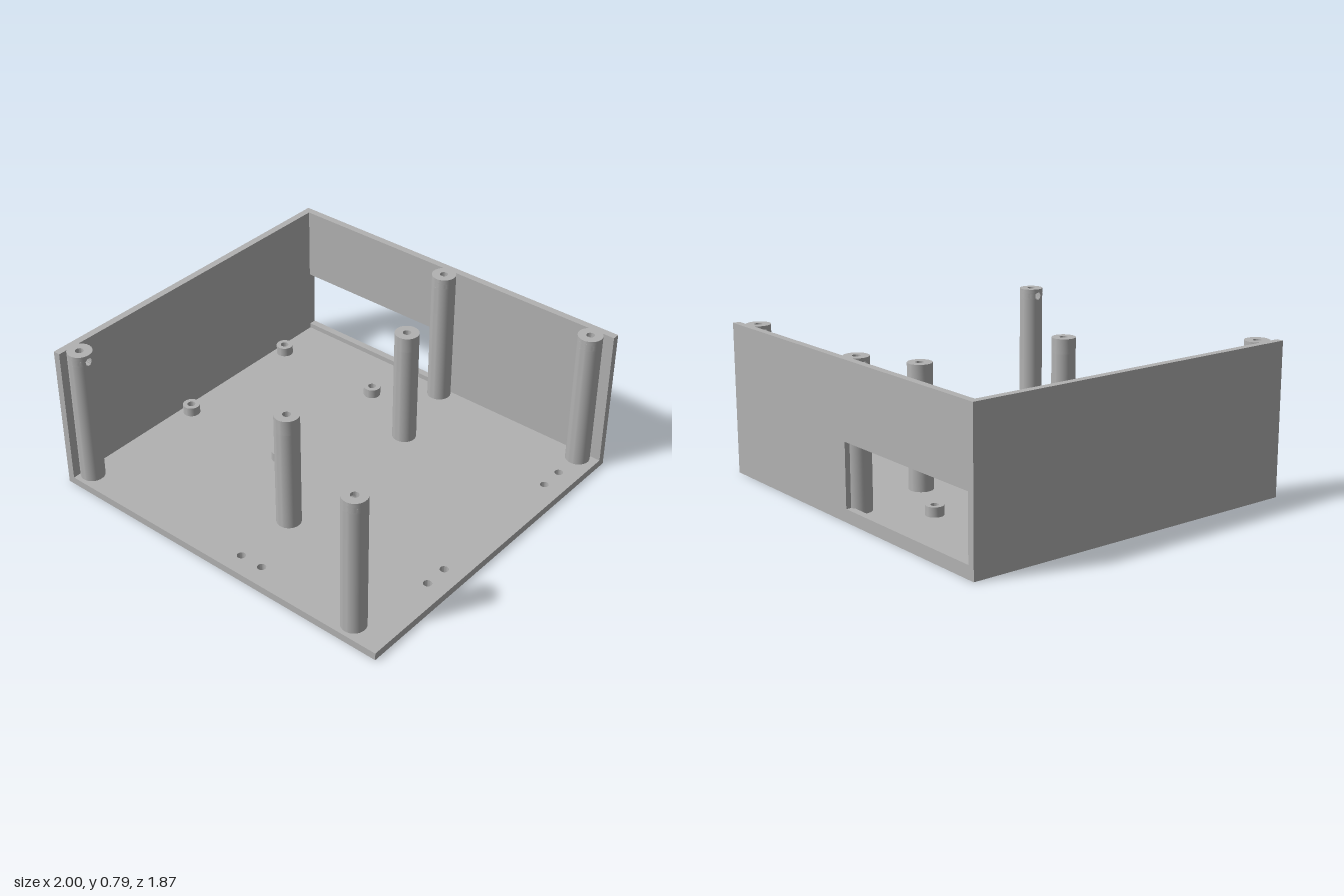
import * as THREE from 'three';
import { mergeGeometries, toCreasedNormals } from 'three/addons/utils/BufferGeometryUtils.js';

const grey = new THREE.MeshStandardMaterial({ color: 0xb2b2b2 });
grey.name = 'grey plastic';

const FLOOR = 0.04, TOP = 0.79, HX = 1, HZ = 0.935, WALL = 0.038;
const POST_R = 0.063, BORE_R = 0.021, HEAD_R = 0.04, NUT_R = 0.04;

// Closed circle or regular polygon, usable as a shape or a hole
function circle(path, x, z, r, sides = 40) {
  const pts = [];
  for (let i = 0; i < sides; i++) {
    const a = (i / sides) * Math.PI * 2;
    pts.push(new THREE.Vector2(x + r * Math.cos(a), z + r * Math.sin(a)));
  }
  return path.setFromPoints(pts);
}

function rectangle(path, x0, y0, x1, y1) {
  return path.setFromPoints([[x0, y0], [x1, y0], [x1, y1], [x0, y1]].map(p => new THREE.Vector2(...p)));
}

// Extrude an (x, z) outline between two heights
function prism(shape, y0, y1) {
  const geo = new THREE.ExtrudeGeometry(shape, { depth: y1 - y0, bevelEnabled: false });
  geo.rotateX(Math.PI / 2).translate(0, y1, 0);
  return toCreasedNormals(geo, 0.6);
}

function ring(r, bore, y0, y1, sides = 40) {
  const shape = circle(new THREE.Shape(), 0, 0, r, sides);
  shape.holes.push(circle(new THREE.Path(), 0, 0, bore));
  return prism(shape, y0, y1);
}

// Ring with a slot of half width w open towards +x
function slottedRing(w, y0, y1) {
  const pts = [], n = 40;
  const arc = (r, flip) => {
    const a = Math.asin(w / r);
    for (let i = 0; i <= n; i++) {
      const t = a + (2 * Math.PI - 2 * a) * (flip ? 1 - i / n : i / n);
      pts.push(new THREE.Vector2(r * Math.cos(t), r * Math.sin(t)));
    }
  };
  arc(POST_R, false);
  arc(BORE_R, true);
  return prism(new THREE.Shape(pts), y0, y1);
}

// Tall lid post with a small round cross hole in one side near the top
function lidPostGeometry() {
  const cy = 0.752, r = 0.019, steps = 6;
  const parts = [ring(POST_R, BORE_R, FLOOR, cy - r), ring(POST_R, BORE_R, cy + r, TOP)];
  for (let i = 0; i < steps; i++) {
    const a = -1 + (2 * i) / steps, b = -1 + (2 * (i + 1)) / steps, mid = (a + b) / 2;
    parts.push(slottedRing(r * Math.sqrt(1 - mid * mid), cy + a * r, cy + b * r));
  }
  return mergeGeometries(parts);
}

export function createModel() {
  const group = new THREE.Group();
  const add = (name, geo, x = 0, z = 0, turn = 0) => {
    const mesh = new THREE.Mesh(geo, grey);
    mesh.name = name;
    mesh.position.set(x, 0, z);
    mesh.rotation.y = turn;
    group.add(mesh);
  };

  const standoffs = [[-0.905, -0.61], [-0.272, -0.61], [-0.905, 0.14], [-0.272, 0.14]];
  const screwPosts = [[0.095, -0.425], [0.095, 0.487]];
  const floorHoles = [[0.895, -0.68], [0.895, -0.55], [0.895, 0.288], [0.895, 0.417], [0.095, 0.83], [0.225, 0.83]];

  // Floor, pierced by mounting holes, screw head bores and hexagonal nut pockets
  const floor = rectangle(new THREE.Shape(), -HX, -HZ, HX, HZ);
  for (const [x, z] of floorHoles) floor.holes.push(circle(new THREE.Path(), x, z, 0.022, 24));
  for (const [x, z] of screwPosts) floor.holes.push(circle(new THREE.Path(), x, z, HEAD_R));
  for (const [x, z] of standoffs) floor.holes.push(circle(new THREE.Path(), x, z, NUT_R, 6));
  add('floor', prism(floor, 0, FLOOR));

  // Back wall with a connector window
  const back = rectangle(new THREE.Shape(), -HX, FLOOR, HX, TOP);
  back.holes.push(rectangle(new THREE.Path(), -HX + WALL, 0.067, -0.015, 0.395));
  const backGeo = new THREE.ExtrudeGeometry(back, { depth: WALL, bevelEnabled: false });
  add('backWall', backGeo.translate(0, 0, -HZ));

  // Side wall
  const sideGeo = new THREE.BoxGeometry(WALL, TOP - FLOOR, 2 * HZ - WALL);
  sideGeo.translate(-HX + WALL / 2, (TOP + FLOOR) / 2, WALL / 2);
  add('rightWall', sideGeo);

  // Lid posts, cross holes facing inwards
  const lidPost = lidPostGeometry();
  for (const [x, z, turn] of [[0.003, -0.848, Math.PI], [0.897, -0.848, Math.PI], [-0.912, 0.85, 0], [0.806, 0.85, Math.PI]])
    add('lidPost', lidPost, x, z, turn);

  // Screw posts, bored wide from below
  const screwPost = mergeGeometries([ring(POST_R, HEAD_R, FLOOR, 0.6), ring(POST_R, BORE_R, 0.6, 0.68)]);
  for (const [x, z] of screwPosts) add('screwPost', screwPost, x, z);

  // Board standoffs, each with the roof of its nut pocket
  const standoff = mergeGeometries([ring(0.045, BORE_R, FLOOR, 0.09), ring(NUT_R, BORE_R, 0.028, FLOOR, 6)]);
  for (const [x, z] of standoffs) add('standoff', standoff, x, z);

  return group;
}
